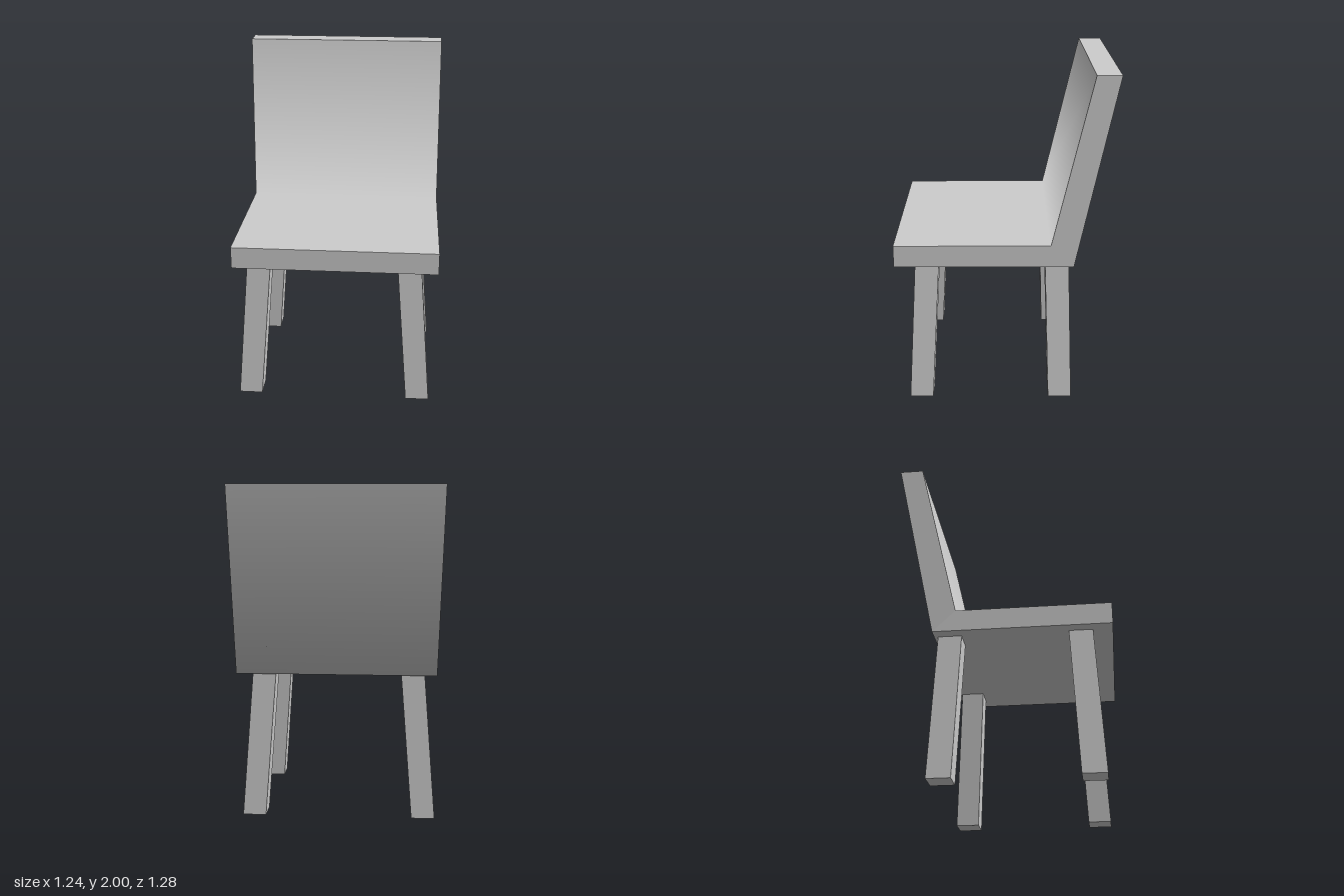
import * as THREE from 'three';

const material = new THREE.MeshStandardMaterial({ color: 0xcccccc });
const RIGHT_X = 0.615;

// Slab spanning the chair's width. Each profile point is { y, z, x, n }:
// x is the edge on the -x side, n an optional normal that softens the fold.
function slab(name, profile, openEdge) {
  const position = [], normal = [];
  const low = profile.map(p => new THREE.Vector3(p.x, p.y, p.z));
  const high = profile.map(p => new THREE.Vector3(RIGHT_X, p.y, p.z));

  const quad = (corners, normals = []) => {
    const [a, b, c] = corners;
    const flat = b.clone().sub(a).cross(c.clone().sub(a)).normalize();
    for (const i of [0, 1, 2, 0, 2, 3]) {
      position.push(...corners[i].toArray());
      normal.push(...(normals[i] ?? flat).toArray());
    }
  };

  quad(high);
  quad([...low].reverse());
  profile.forEach((p, i) => {
    if (i === openEdge) return; // hidden mitre joint
    const j = (i + 1) % 4, q = profile[j];
    const soft = !(p.n && q.n);
    quad([high[i], low[i], low[j], high[j]], soft ? [p.n, p.n, q.n, q.n] : []);
  });

  const geometry = new THREE.BufferGeometry();
  geometry.setAttribute('position', new THREE.Float32BufferAttribute(position, 3));
  geometry.setAttribute('normal', new THREE.Float32BufferAttribute(normal, 3));
  const mesh = new THREE.Mesh(geometry, material);
  mesh.name = name;
  return mesh;
}

// Square leg sheared from its foot centre to its top centre
function leg(name, foot, top) {
  const height = 0.88, width = 0.14;
  const geometry = new THREE.BoxGeometry(width, height, width, 1, 2, 1);
  const pos = geometry.attributes.position;
  for (let i = 0; i < pos.count; i++) {
    const t = pos.getY(i) / height + 0.5;
    pos.setXYZ(
      i,
      pos.getX(i) + THREE.MathUtils.lerp(foot[0], top[0], t),
      t * height,
      pos.getZ(i) + THREE.MathUtils.lerp(foot[1], top[1], t)
    );
  }
  geometry.computeVertexNormals();
  const mesh = new THREE.Mesh(geometry, material);
  mesh.name = name;
  return mesh;
}

export function createModel() {
  const chair = new THREE.Group();
  chair.name = 'chair';

  // Flat seat, mitred at the rear
  chair.add(slab('seat', [
    { y: 0.88, z: 0.64, x: -0.59 },
    { y: 0.88, z: -0.405, x: -0.59 },
    { y: 1.01, z: -0.27, x: -0.59 },
    { y: 1.01, z: 0.64, x: -0.59 },
  ], 1));

  // Leaning backrest, shaded smoothly out of the seat and flaring on one side
  chair.add(slab('backrest', [
    { y: 1.01, z: -0.27, x: -0.59, n: new THREE.Vector3(0, 1, 0) },
    { y: 0.88, z: -0.405, x: -0.59, n: new THREE.Vector3(0, -1, 0) },
    { y: 2, z: -0.64, x: -0.62 },
    { y: 2, z: -0.5, x: -0.62 },
  ], 0));

  // Splayed legs
  for (const [side, s] of [['Left', 1], ['Right', -1]]) {
    chair.add(leg('front' + side + 'Leg', [s * 0.515, 0.505], [s * 0.447, 0.455]));
    chair.add(leg('rear' + side + 'Leg', [s * 0.515, -0.34], [s * 0.447, -0.312]));
  }
  return chair;
}
